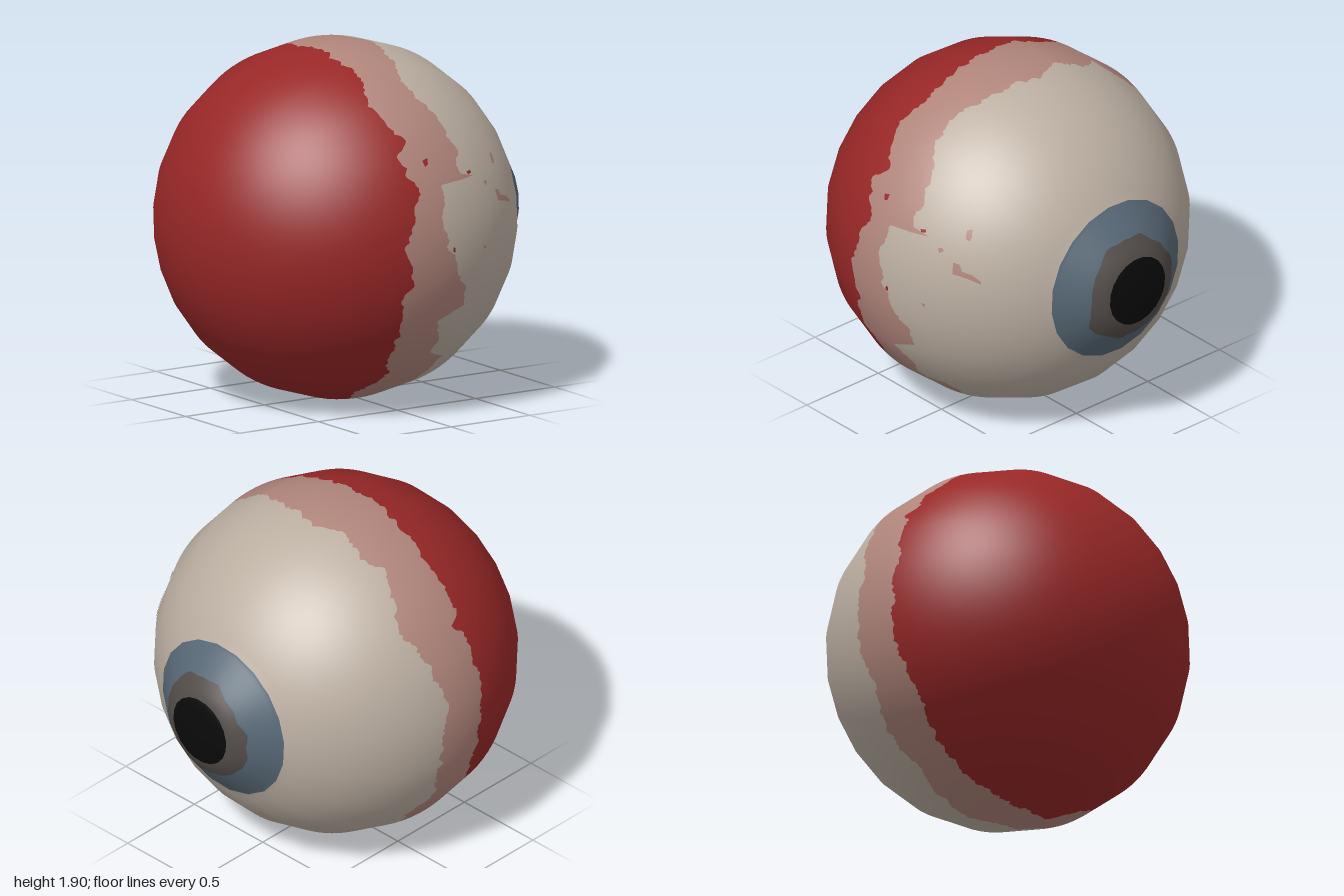
import * as THREE from 'three';

const CX = -0.045, CY = 0.955, CZ = -0.005, R = 0.955, COLS = 360;
const RAD = Math.PI / 180;
const mat = (name, color) => {
  const m = new THREE.MeshStandardMaterial({ color });
  m.name = name;
  return m;
};

// Half profile: u 0..1 runs along the ball, 1..2 along the bulging cornea
const END = Math.acos((CX - 0.8) / R);
const cornea = new THREE.SplineCurve([
  [0.8, 0.446], [0.925, 0.287], [0.978, 0.193], [0.995, 0.09], [1, 0],
].map(p => new THREE.Vector2(...p)));
function profile(u) {
  if (u > 1) return cornea.getPoint(Math.min(u - 1, 1));
  return new THREE.Vector2(CX - R * Math.cos(u * END), R * Math.sin(u * END));
}
const uOfX = x => Math.acos((CX - x) / R) / END;

// Twenty flat sides around the x axis
function facet(deg) {
  const d = ((deg - 12) % 18 + 18) % 18 - 9;
  return Math.cos(9 * RAD) / Math.cos(d * RAD);
}

// Repeatable noise for ragged edges
const hash = n => { const s = Math.sin(n * 127.1 + 3.7) * 43758.5453; return s - Math.floor(s); };
function jitter(deg, step, seed) {
  const n = Math.round(360 / step), q = deg / step, i = Math.floor(q), f = q - i;
  const a = hash(i % n + seed), b = hash((i + 1) % n + seed);
  return a + (b - a) * f - 0.5;
}

// Ragged edge: front points as [y, x], rear points as [degrees, x]; returns u by angle
function raggedEdge(front, rear, seed) {
  const pts = front.map(([y, x]) => [Math.asin(THREE.MathUtils.clamp((y - CY) / R, -1, 1)) / RAD, x])
    .concat(rear).sort((a, b) => a[0] - b[0]);
  const first = pts[0], last = pts[pts.length - 1];
  pts.unshift([last[0] - 360, last[1]]);
  pts.push([first[0] + 360, first[1]]);
  return deg => {
    const d = deg > 270 ? deg - 360 : deg;
    let k = 0;
    while (k < pts.length - 2 && pts[k + 1][0] < d) k++;
    const [a0, x0] = pts[k], [a1, x1] = pts[k + 1];
    const x = x0 + (x1 - x0) * (d - a0) / (a1 - a0);
    return uOfX(x + 0.035 * jitter(deg, 3, seed) + 0.02 * jitter(deg, 1, seed + 500));
  };
}

// Band of surface between two edges, each given as u by angle
function band(name, material, from, to, rows) {
  const pos = [], nor = [], index = [];
  for (let j = 0; j <= COLS; j++) {
    const deg = (j % COLS) * 360 / COLS, c = Math.cos(deg * RAD), s = Math.sin(deg * RAD);
    const u0 = from(deg), u1 = to(deg), k = facet(deg);
    for (let i = 0; i <= rows; i++) {
      const u = u0 + (u1 - u0) * i / rows, p = profile(u);
      const t = profile(Math.min(u + 0.004, 2)).sub(profile(Math.max(u - 0.004, 0))).normalize();
      pos.push(p.x, CY + p.y * k * s, CZ + p.y * k * c);
      nor.push(-t.y, t.x * s, t.x * c);
      if (i < rows && j < COLS) {
        const a = j * (rows + 1) + i, b = a + rows + 1;
        index.push(a, a + 1, b, a + 1, b + 1, b);
      }
    }
  }
  const g = new THREE.BufferGeometry();
  g.setAttribute('position', new THREE.Float32BufferAttribute(pos, 3));
  g.setAttribute('normal', new THREE.Float32BufferAttribute(nor, 3));
  g.setIndex(index);
  const mesh = new THREE.Mesh(g, material);
  mesh.name = name;
  return mesh;
}

// Small stain laid on the front of the ball, outlined in x and y
function stain(name, material, outline) {
  const shape = new THREE.Shape(outline.map(p => new THREE.Vector2(...p)));
  const g = new THREE.ShapeGeometry(shape), p = g.attributes.position, n = g.attributes.normal;
  for (let i = 0; i < p.count; i++) {
    const v = new THREE.Vector3(p.getX(i) - CX, p.getY(i) - CY, 0);
    v.z = Math.sqrt(R * R - v.x * v.x - v.y * v.y);
    const k = facet(Math.atan2(v.y, v.z) / RAD + 360);
    n.setXYZ(i, v.x / R, v.y / R, v.z / R);
    p.setXYZ(i, CX + v.x * 1.004, CY + v.y * k * 1.004, CZ + v.z * k * 1.004);
  }
  const mesh = new THREE.Mesh(g, material);
  mesh.name = name;
  return mesh;
}

export function createModel() {
  const red = mat('bloodRed', 0x982727);
  const pink = mat('fleshPink', 0xb0857b);
  const white = mat('scleraWhite', 0xbbaea1);
  const blue = mat('irisBlue', 0x576876);
  const brown = mat('irisGreyBrown', 0x544d4a);
  const black = mat('pupilBlack', 0x0a0a0a);

  const redEdge = raggedEdge(
    [[1.83, -.18], [1.67, -.23], [1.6, -.2], [1.51, -.11], [1.46, -.19], [1.35, -.19], [1.27, -.12],
      [1.06, -.2], [.98, -.25], [.76, -.18], [.68, -.23], [.5, -.2], [.31, -.19], [.23, -.13], [.1, -.2], [.02, -.12]],
    [[96, -.22], [108, -.19], [122, -.17], [144, -.17], [147, -.11], [151, -.17], [168, -.18],
      [190, -.15], [215, -.17], [240, -.13], [260, -.15]], 11);
  const pinkEdge = raggedEdge(
    [[1.88, .12], [1.78, .05], [1.7, .05], [1.59, .13], [1.49, .17], [1.35, .16], [1.325, .18], [1.31, .28],
      [1.295, .16], [1.28, .01], [1.11, 0], [1, .02], [.87, .06], [.74, .15], [.6, .19], [.57, .08], [.54, .01],
      [.44, .09], [.34, .06], [.28, .18], [.18, .17], [.04, .06]],
    [[93, .16], [101, .11], [113, .14], [122, .08], [130, .14], [141, .2], [147, .16], [170, .07],
      [190, .12], [205, .08], [220, .13], [240, .1], [258, .16]], 47);
  const ringEdge = deg => 1.245 + 0.025 * Math.sin(3 * deg * RAD + 0.6) + 0.05 * jitter(deg, 15, 80);
  const at = u => () => u;

  const model = new THREE.Group();
  model.name = 'eyeball';
  model.add(
    band('redBack', red, at(0), redEdge, 24),
    band('pinkBand', pink, redEdge, pinkEdge, 8),
    band('sclera', white, pinkEdge, at(1), 18),
    band('iris', blue, at(1), ringEdge, 6),
    band('innerIris', brown, ringEdge, at(1.5), 6),
    band('pupil', black, at(1.5), at(2), 10),
    // Stray veins and blood spots
    stain('longVein', pink, [[.42, 1.19], [.43, 1.13], [.5, 1.115], [.56, 1.09], [.56, 1.105], [.52, 1.135], [.47, 1.15], [.45, 1.185]]),
    stain('upperVein', pink, [[.44, 1.36], [.445, 1.32], [.465, 1.31], [.47, 1.33], [.46, 1.37]]),
    stain('lowerVein', pink, [[.33, 1.25], [.34, 1.225], [.36, 1.24], [.35, 1.255]]),
    stain('paleSpot', pink, [[.28, .92], [.285, .905], [.3, .905], [.3, .92]]),
    stain('redSpot', red, [[-.07, 1.41], [-.06, 1.38], [-.04, 1.39], [-.035, 1.42]]),
    stain('redFleck', red, [[.21, 1.32], [.22, 1.305], [.245, 1.31], [.24, 1.325]]),
    stain('redSpeck', red, [[.055, .95], [.055, .925], [.07, .92], [.07, .945]]),
  );
  return model;
}
